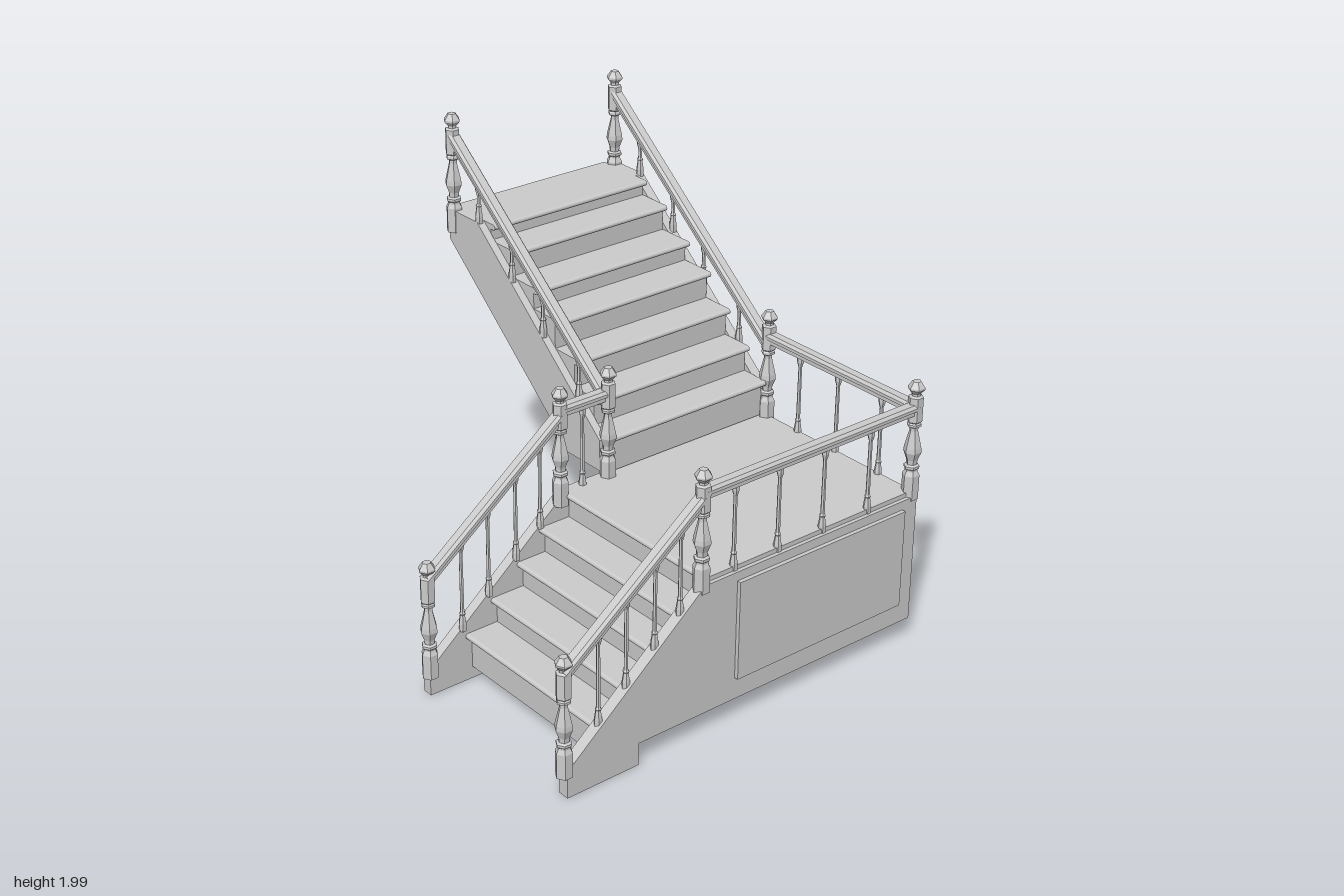
import * as THREE from 'three';

const material = new THREE.MeshStandardMaterial({ color: 0xcccccc, flatShading: true });

function mesh(name, geometry) {
  const m = new THREE.Mesh(geometry, material);
  m.name = name;
  return m;
}

// Box given by its lower and upper limits on each axis
function box(name, x0, x1, y0, y1, z0, z1) {
  const m = mesh(name, new THREE.BoxGeometry(x1 - x0, y1 - y0, z1 - z0));
  m.position.set((x0 + x1) / 2, (y0 + y1) / 2, (z0 + z1) / 2);
  return m;
}

function outline(points) {
  return new THREE.Shape(points.map(([a, b]) => new THREE.Vector2(a, b)));
}

// Profile in x-y, extruded from z0 to z1
function extrudeZ(name, shape, z0, z1) {
  const g = new THREE.ExtrudeGeometry(shape, { depth: z1 - z0, bevelEnabled: false, curveSegments: 5 });
  g.translate(0, 0, z0);
  return mesh(name, g);
}

// Profile in z-y, extruded from x0 to x1
function extrudeX(name, shape, x0, x1) {
  const m = extrudeZ(name, shape, 0, x1 - x0);
  m.geometry.rotateY(-Math.PI / 2);
  m.geometry.translate(x1, 0, 0);
  return m;
}

// Side profile of a step: riser block under a tread with a rounded nosing
function stepShape(nose, top, back = nose - 0.28, height = 0.165) {
  const r = 0.0125;
  const s = new THREE.Shape();
  s.moveTo(nose - 0.28, top - height);
  s.lineTo(nose - 0.03, top - height);
  s.lineTo(nose - 0.03, top - 2 * r);
  s.lineTo(nose - r, top - 2 * r);
  s.absarc(nose - r, top - r, r, -Math.PI / 2, Math.PI / 2, false);
  s.lineTo(back, top);
  s.lineTo(back, top - 2 * r);
  s.lineTo(nose - 0.28, top - 2 * r);
  return s;
}

// Turned newel post with faceted finial
const postProfile = [
  [0, 0], [0.036, 0], [0.036, 0.11], [0.027, 0.128], [0.027, 0.136], [0.033, 0.141], [0.033, 0.152],
  [0.022, 0.158], [0.024, 0.178], [0.038, 0.215], [0.036, 0.235], [0.018, 0.31], [0.018, 0.325],
  [0.03, 0.332], [0.03, 0.342], [0.025, 0.348], [0.032, 0.354], [0.032, 0.462], [0.019, 0.468],
  [0.019, 0.478], [0.036, 0.497], [0.036, 0.505], [0.018, 0.531], [0, 0.531],
].map(([r, y]) => new THREE.Vector2(r, y));
const postGeometry = new THREE.LatheGeometry(postProfile, 6);

function post(x, y, z) {
  const m = mesh('newelPost', postGeometry);
  m.position.set(x, y, z);
  return m;
}

// Slim baluster with tapered foot and collar
function baluster(x, y0, y1, z) {
  const h = y1 - y0;
  const profile = [
    [0, 0], [0.017, 0], [0.017, 0.035], [0.011, 0.075], [0.014, 0.08], [0.009, 0.088],
    [0.008, h - 0.06], [0.011, h - 0.05], [0.015, h - 0.035], [0.015, h], [0, h],
  ].map(([r, y]) => new THREE.Vector2(r, y));
  const m = mesh('baluster', new THREE.LatheGeometry(profile, 6));
  m.position.set(x, y0, z);
  return m;
}

// Moulded handrail running from a to b
const railShape = outline([
  [-0.018, -0.024], [0.018, -0.024], [0.018, -0.008], [0.028, -0.002],
  [0.028, 0.012], [0.018, 0.024], [-0.018, 0.024], [-0.028, 0.012], [-0.028, -0.002], [-0.018, -0.008],
]);
function rail(a, b) {
  const from = new THREE.Vector3(...a), to = new THREE.Vector3(...b);
  const m = extrudeZ('handrail', railShape, 0, from.distanceTo(to));
  m.position.copy(from);
  m.lookAt(to);
  return m;
}

function group(name, ...parts) {
  const g = new THREE.Group();
  g.name = name;
  g.add(...parts);
  return g;
}

export function createModel() {
  const model = new THREE.Group();
  model.name = 'staircase';
  const L = 0.08, R = 0.955, BACK = -0.895, NEAR = -0.01;

  // Lower flight, climbing towards -z
  const lower = group('lowerFlight');
  [[0.73, 0.22], [0.6, 0.34], [0.465, 0.46], [0.35, 0.58]].forEach(([z, y]) =>
    lower.add(extrudeX('step', stepShape(z, y), 0.085, 0.93)));
  model.add(lower);

  // Right side: stringer and landing wall in one, with a raised panel
  const rightSide = outline([
    [0.91, 0], [0.91, 0.12], [0.235, 0.685], [-0.91, 0.685], [-0.91, 0.1], [0.56, 0.1], [0.56, 0],
  ]);
  model.add(extrudeX('rightWall', rightSide, 0.93, 0.982));
  model.add(box('wallPanel', 0.975, 1, 0.2, 0.645, -0.83, 0.07));

  // Left side: sloping stringer, landing fascia and short wall
  const leftSide = outline([
    [0.91, 0], [0.91, 0.12], [0.235, 0.685], [-0.91, 0.685], [-0.91, 0.1], [-0.44, 0.1],
    [-0.44, 0.54], [0.03, 0.54], [0.56, 0.1], [0.56, 0],
  ]);
  model.add(extrudeX('leftWall', leftSide, 0.038, 0.085));

  // Landing
  model.add(group('landing',
    extrudeX('landingStep', stepShape(0.225, 0.705), 0.085, 0.93),
    box('landingFloor', 0.05, 0.965, 0.68, 0.705, -0.9, 0.2),
    box('backWall', 0.05, 0.97, 0.1, 0.685, -0.91, -0.87)));

  // Upper flight, climbing towards -x
  const upper = group('upperFlight');
  [[0.11, 0.885], [0, 1.01], [-0.13, 1.14], [-0.26, 1.27], [-0.405, 1.365], [-0.56, 1.485], [-0.7, 1.56]]
    .forEach(([x, y], i) =>
      upper.add(extrudeZ('step', stepShape(x, y, i === 6 ? -1 : x - 0.28, 0.172), -0.865, -0.03)));
  const upperSide = outline([
    [0.05, 0.715], [0.05, 0.855], [-0.78, 1.56], [-0.98, 1.56], [-0.98, 1.42], [-0.25, 0.8], [-0.25, 0.715],
  ]);
  upper.add(extrudeZ('stringer', upperSide, -0.03, 0.005));
  upper.add(extrudeZ('stringer', upperSide, -0.91, -0.865));
  model.add(upper);

  // Balustrades of the lower flight
  for (const x of [L, R]) {
    const side = group('lowerBalustrade', post(x, 0.09, 0.905), post(x, 0.65, 0.235),
      rail([x, 0.545, 0.905], [x, 1.06, 0.235]));
    for (const z of [0.74, 0.605, 0.465, 0.34])
      side.add(baluster(x, 0.1 + (0.91 - z) * 0.836, 0.54 + (0.905 - z) * 0.769, z));
    model.add(side);
  }

  // Balustrades of the upper flight
  for (const z of [BACK, NEAR]) {
    const side = group('upperBalustrade', post(0.085, 0.67, z), post(-0.965, 1.46, z),
      rail([-0.965, 1.89, z], [0.085, 1.045, z]));
    for (const x of [-0.785, -0.555, -0.345, -0.105])
      side.add(baluster(x, Math.min(1.55, 1.55 - (x + 0.78) * 0.85), 1.88 - (x + 0.965) * 0.805, z));
    model.add(side);
  }

  // Balustrades around the landing
  const around = group('landingBalustrade', post(R, 0.67, BACK),
    rail([L, 1.08, BACK], [R, 1.08, BACK]),
    rail([R, 1.08, 0.235], [R, 1.08, BACK]),
    rail([L, 1.08, 0.235], [L, 1.08, NEAR]),
    baluster(L, 0.68, 1.07, 0.12));
  for (const x of [0.285, 0.515, 0.77]) around.add(baluster(x, 0.68, 1.07, BACK));
  for (const z of [0.07, -0.16, -0.4, -0.65]) around.add(baluster(R, 0.68, 1.07, z));
  model.add(around);

  return model;
}
